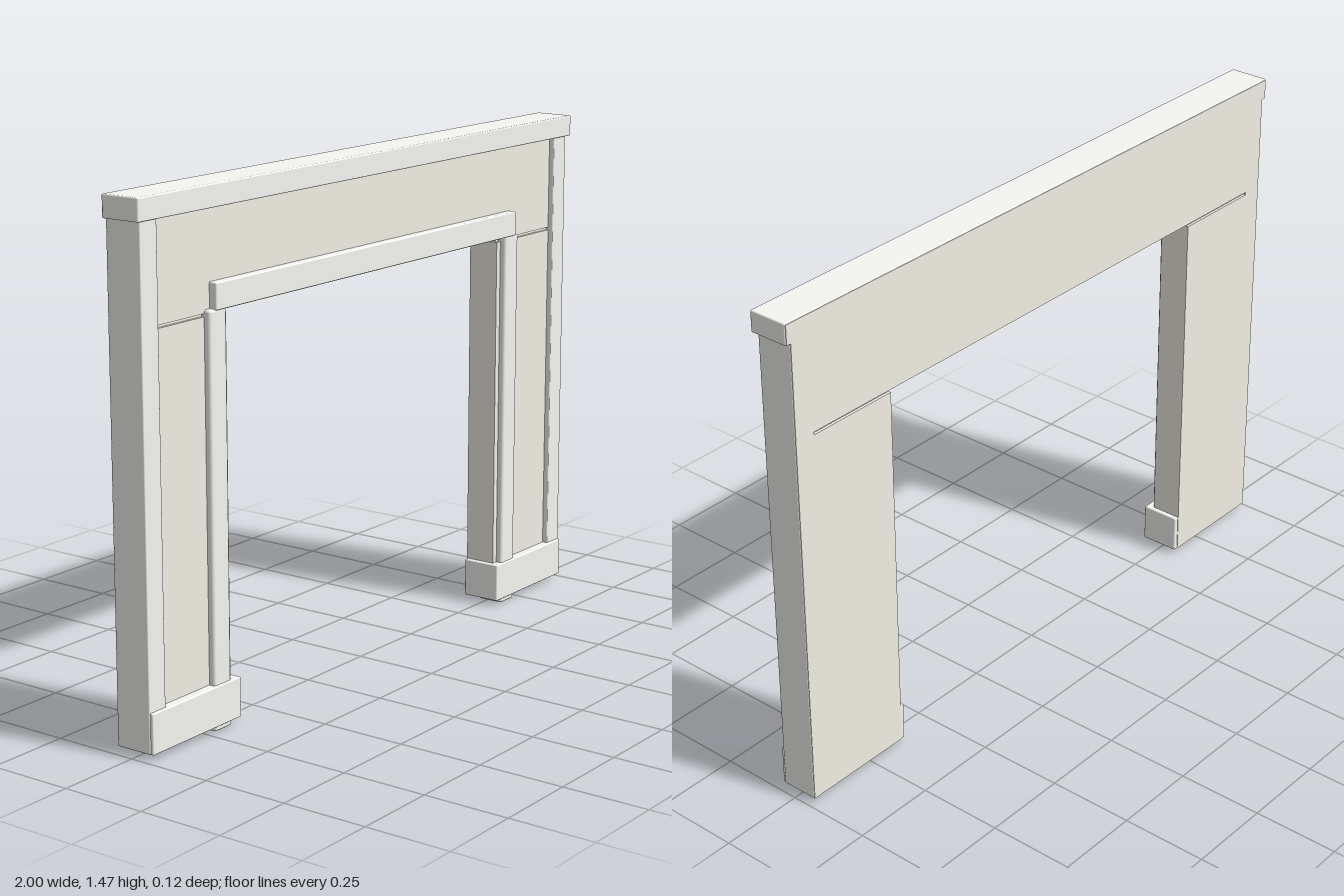
import * as THREE from 'three';
import { RoundedBoxGeometry } from 'three/addons/geometries/RoundedBoxGeometry.js';

export function createModel() {
  const group = new THREE.Group();
  group.name = 'fireplaceSurround';
  const trim = new THREE.MeshStandardMaterial({ color: 0xf5f6f2 });
  const panel = new THREE.MeshStandardMaterial({ color: 0xf2efe4 });

  // Box from its minimum and maximum corners, with an optional eased edge
  function block(name, [x0, y0, z0], [x1, y1, z1], material, radius = 0) {
    const size = [x1 - x0, y1 - y0, z1 - z0];
    const geometry = radius
      ? new RoundedBoxGeometry(...size, 2, radius)
      : new THREE.BoxGeometry(...size);
    const mesh = new THREE.Mesh(geometry, material);
    mesh.position.set((x0 + x1) / 2, (y0 + y1) / 2, (z0 + z1) / 2);
    mesh.name = name;
    group.add(mesh);
  }

  // The same box on the left (+x) and right (-x)
  function pair(name, [x0, y0, z0], [x1, y1, z1], material, radius) {
    block(name + 'Left', [x0, y0, z0], [x1, y1, z1], material, radius);
    block(name + 'Right', [-x1, y0, z0], [-x0, y1, z1], material, radius);
  }

  // Mantel shelf along the top, with its thin backing
  block('mantelShelf', [-1, 1.41, -0.0585], [1, 1.472, 0.06], trim, 0.004);
  block('mantelBacking', [-0.997, 1.412, -0.06], [0.997, 1.469, -0.0575], panel);

  // Recessed panels, with a narrow sunk joint between frieze and legs
  block('friezePanel', [-0.93, 1.135, -0.06], [0.93, 1.412, 0.035], panel);
  pair('legPanel', [0.636, 0.017, -0.06], [0.93, 1.127, 0.035], panel);
  pair('panelJoint', [0.64, 1.12, -0.052], [0.925, 1.14, 0.027], panel);

  // Outer posts and the thin backing behind them
  pair('outerPost', [0.92, 0.017, -0.0585], [0.985, 1.42, 0.051], trim, 0.003);
  pair('postBacking', [0.92, 0.017, -0.06], [0.983, 1.412, -0.0575], panel);

  // Inner pilasters, whose ends show as feet below the plinths
  pair('innerPilaster', [0.655, 0, -0.028], [0.724, 1.145, 0.054], trim, 0.008);

  // Plinth blocks
  pair('plinth', [0.622, 0.016, -0.0585], [0.982, 0.13, 0.06], trim, 0.004);

  // Raised trim over the opening
  block('lintelTrim', [-0.702, 1.142, -0.02], [0.702, 1.215, 0.059], trim, 0.004);

  return group;
}
